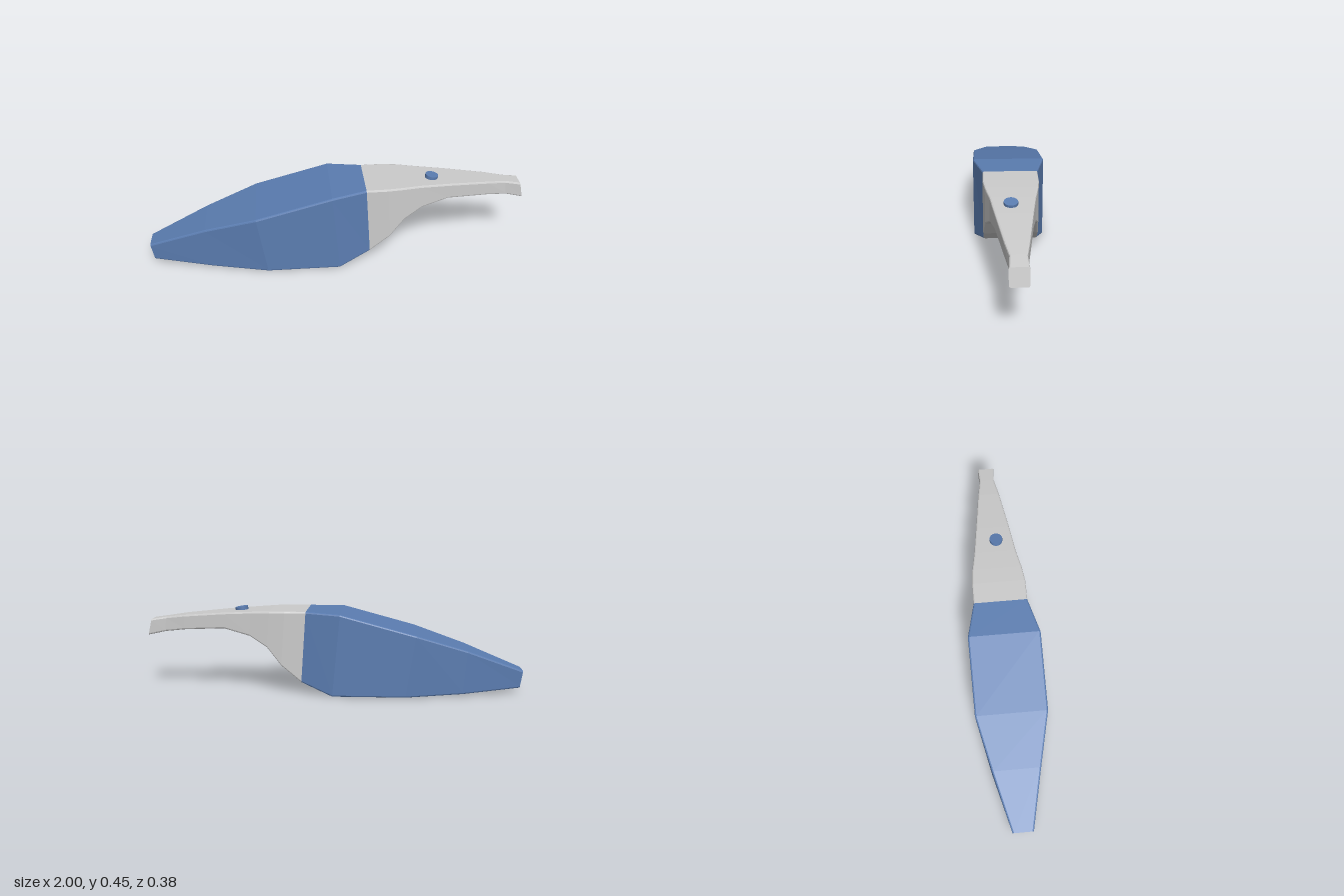
import * as THREE from 'three';

// Cross-sections: [topX, topY, bottomX, bottomY, zMin, zMax]
const seam = [0.14, 0.442, 0.165, 0.068, -0.147, 0.133];
const bodySections = [
  [-1, 0.125, -0.985, 0.033, -0.046, 0.063],
  [-0.7, 0.242, -0.68, 0.013, -0.124, 0.126],
  [-0.43, 0.33, -0.38, 0.005, -0.187, 0.186],
  [-0.04, 0.435, 0, 0.004, -0.19, 0.184],
  seam,
];
const handleSections = [
  seam,
  [0.25, 0.443, 0.27, 0.155, -0.147, 0.133],
  [0.33, 0.441, 0.345, 0.25, -0.14, 0.122],
  [0.43, 0.436, 0.44, 0.308, -0.122, 0.1],
  [0.58, 0.427, 0.58, 0.343, -0.102, 0.078],
  [0.8, 0.408, 0.8, 0.33, -0.074, 0.042],
  [0.9, 0.395, 0.91, 0.316, -0.058, 0.021],
  [0.98, 0.383, 1, 0.297, -0.063, 0.026],
];

// Rectangle with small rounded corners, counter-clockwise seen from +x
function ring([tx, ty, bx, by, z0, z1]) {
  const r = 0.008, h = ty - by, points = [];
  const corners = [[z0 + r, r, -90], [z0 + r, h - r, 180], [z1 - r, h - r, 90], [z1 - r, r, 0]];
  for (const [cz, cy, start] of corners) {
    for (let k = 0; k <= 2; k++) {
      // sweep each corner by a quarter turn
      const a = THREE.MathUtils.degToRad(start - k * 45);
      const y = cy + r * Math.sin(a), z = cz + r * Math.cos(a);
      points.push(new THREE.Vector3(bx + (tx - bx) * y / h, by + y, z));
    }
  }
  return points;
}

// Skin the sections and close both ends
function loft(sections) {
  const rings = sections.map(ring), n = rings[0].length, tris = [];
  for (let i = 0; i < rings.length - 1; i++) {
    for (let j = 0; j < n; j++) {
      const k = (j + 1) % n;
      const a = rings[i][j], b = rings[i][k], c = rings[i + 1][k], d = rings[i + 1][j];
      tris.push(a, b, c, a, c, d);
    }
  }
  const first = rings[0], last = rings[rings.length - 1];
  for (let j = 1; j < n - 1; j++) {
    tris.push(first[0], first[j + 1], first[j], last[0], last[j], last[j + 1]);
  }
  const geometry = new THREE.BufferGeometry().setFromPoints(tris);
  geometry.computeVertexNormals();
  return geometry;
}

export function createModel() {
  const group = new THREE.Group();
  const blue = new THREE.MeshStandardMaterial({ color: 0x5b7db1, flatShading: true });
  const grey = new THREE.MeshStandardMaterial({ color: 0xcccccc, flatShading: true });
  const blueSmooth = new THREE.MeshStandardMaterial({ color: 0x5b7db1 });

  function add(name, geometry, material) {
    const mesh = new THREE.Mesh(geometry, material);
    mesh.name = name;
    group.add(mesh);
    return mesh;
  }

  // Faceted dust container tapering to the nozzle
  add('body', loft(bodySections), blue);

  // Curved grip
  add('handle', loft(handleSections), grey);

  // Round switch, tilted to follow the top of the grip
  const button = add('button', new THREE.CylinderGeometry(0.034, 0.034, 0.022, 32), blueSmooth);
  button.position.set(0.5, 0.437, 0);
  button.rotation.z = -0.16;

  return group;
}
